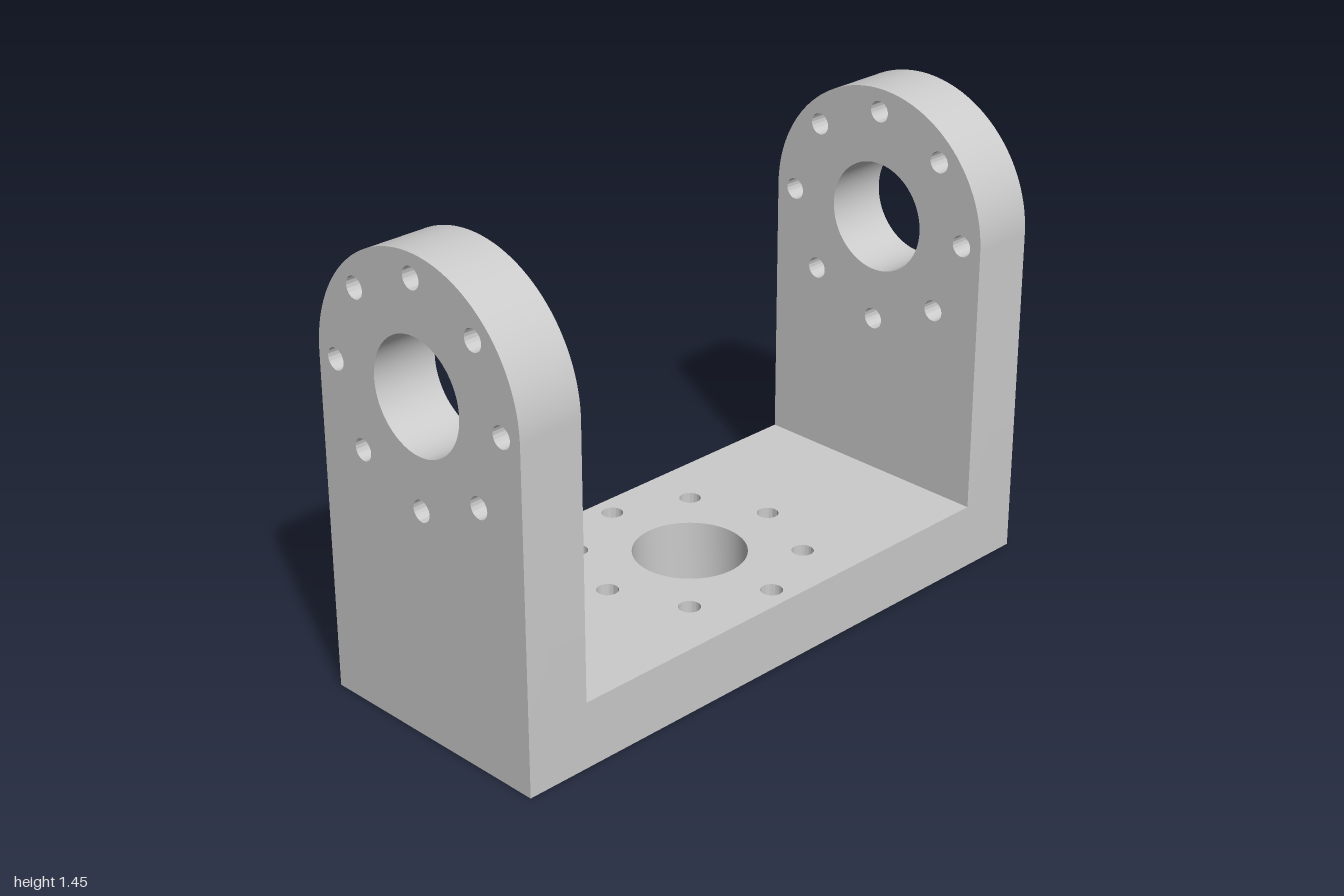
import * as THREE from 'three';
import { toCreasedNormals } from 'three/addons/utils/BufferGeometryUtils.js';

const HALF_LENGTH = 1, HALF_DEPTH = 0.405, THICK = 0.207;
const PIVOT_Y = 1.045; // height of the bore in the side arms
const BORE = 0.172, BOLT = 0.033, BOLT_CIRCLE = 0.334;

// Large bore surrounded by a ring of eight bolt holes
function addHolePattern(shape, cx, cy) {
  const addHole = (x, y, r) =>
    shape.holes.push(new THREE.Path().absarc(x, y, r, 0, Math.PI * 2, true));
  addHole(cx, cy, BORE);
  for (let i = 0; i < 8; i++) {
    const a = (i * Math.PI) / 4;
    addHole(cx + BOLT_CIRCLE * Math.cos(a), cy + BOLT_CIRCLE * Math.sin(a), BOLT);
  }
}

function plate(shape) {
  const geometry = new THREE.ExtrudeGeometry(shape, {
    depth: THICK, bevelEnabled: false, curveSegments: 48,
  });
  return toCreasedNormals(geometry, Math.PI / 6);
}

export function createModel() {
  const group = new THREE.Group();
  group.name = 'bracket';
  const material = new THREE.MeshStandardMaterial({ color: 0xcccccc });

  // Base plate between the arms
  const inner = HALF_LENGTH - THICK;
  const baseShape = new THREE.Shape();
  baseShape.moveTo(-inner, -HALF_DEPTH);
  baseShape.lineTo(inner, -HALF_DEPTH);
  baseShape.lineTo(inner, HALF_DEPTH);
  baseShape.lineTo(-inner, HALF_DEPTH);
  baseShape.closePath();
  addHolePattern(baseShape, 0, 0);
  const base = new THREE.Mesh(plate(baseShape).rotateX(-Math.PI / 2), material);
  base.name = 'basePlate';
  group.add(base);

  // Round-topped side arms
  const armShape = new THREE.Shape();
  armShape.moveTo(-HALF_DEPTH, 0);
  armShape.lineTo(HALF_DEPTH, 0);
  armShape.lineTo(HALF_DEPTH, PIVOT_Y);
  armShape.absarc(0, PIVOT_Y, HALF_DEPTH, 0, Math.PI, false);
  armShape.closePath();
  addHolePattern(armShape, 0, PIVOT_Y);
  const armGeometry = plate(armShape).rotateY(Math.PI / 2);
  for (const [name, x] of [['leftArm', inner], ['rightArm', -HALF_LENGTH]]) {
    const arm = new THREE.Mesh(armGeometry, material);
    arm.name = name;
    arm.position.x = x;
    group.add(arm);
  }

  return group;
}
